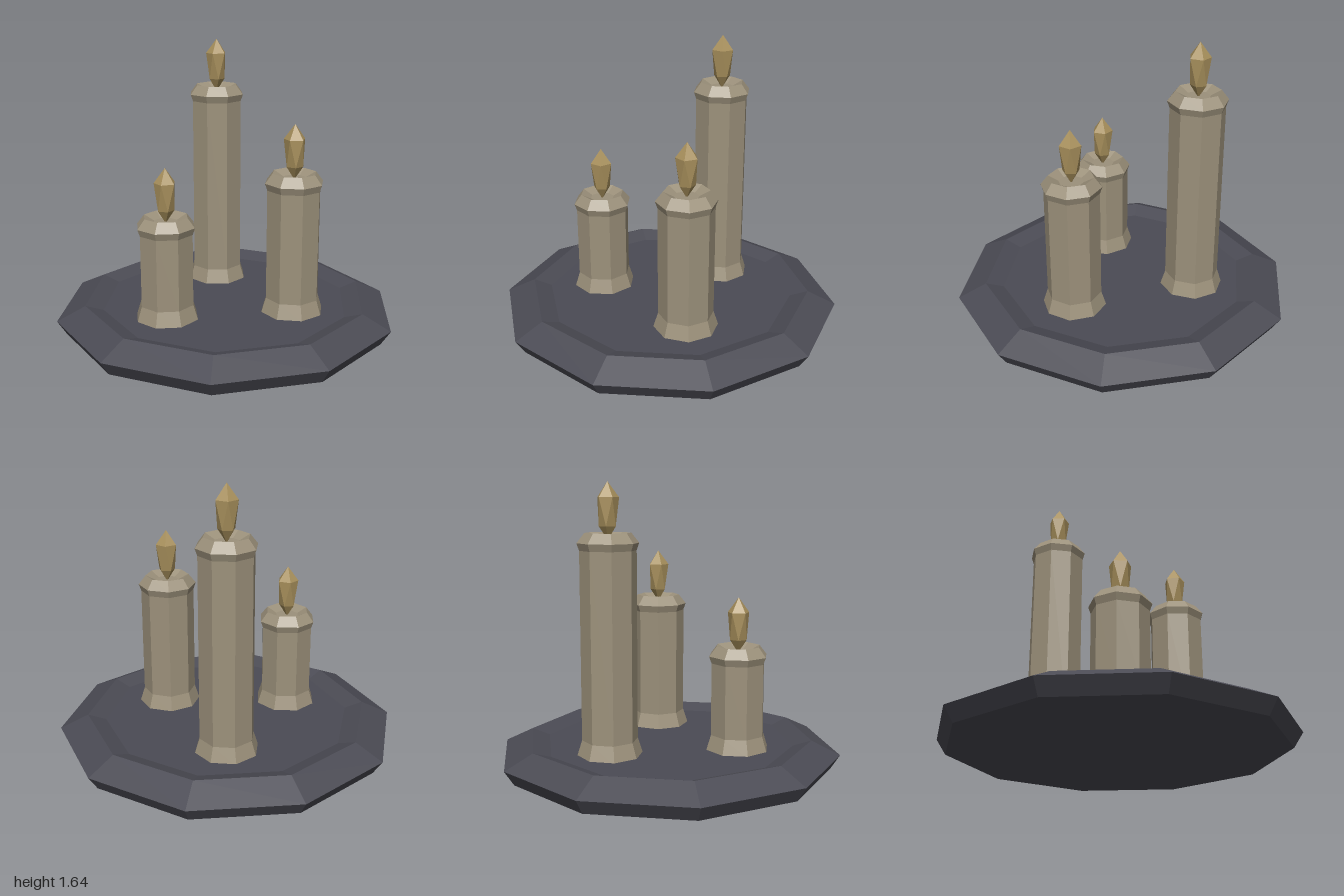
import * as THREE from 'three';
import { ConvexGeometry } from 'three/addons/geometries/ConvexGeometry.js';

const material = (name, color) => {
  const m = new THREE.MeshStandardMaterial({ color });
  m.name = name;
  return m;
};

// Faceted solid of revolution, profile runs from the bottom centre up the outside
function facetedLathe(profile, sides) {
  const points = profile.map(([r, y]) => new THREE.Vector2(r, y));
  const geometry = new THREE.LatheGeometry(points, sides).toNonIndexed();
  geometry.computeVertexNormals();
  return geometry;
}

// Two twisted five-sided rings between a lower and an upper tip
function flameGeometry() {
  const points = [new THREE.Vector3(0, -0.04, 0), new THREE.Vector3(0, 0.275, 0)];
  for (let i = 0; i < 5; i++) {
    const a = (i / 5) * Math.PI * 2;
    const b = a + Math.PI / 5;
    points.push(new THREE.Vector3(0.063 * Math.sin(a), 0.19, 0.063 * Math.cos(a)));
    points.push(new THREE.Vector3(0.049 * Math.sin(b), 0.035, 0.049 * Math.cos(b)));
  }
  return new ConvexGeometry(points);
}

export function createModel() {
  const slate = material('dark slate', 0x4b4b54);
  const wax = material('wax', 0x9c917b);
  const gold = material('flame gold', 0xa8905c);

  const model = new THREE.Group();
  model.name = 'candleTray';

  const add = (parent, name, geometry, mat) => {
    const mesh = new THREE.Mesh(geometry, mat);
    mesh.name = name;
    parent.add(mesh);
    return mesh;
  };

  // Ten-sided tray with a bevelled rim and a shallow sunken floor
  const tray = add(model, 'tray', facetedLathe(
    [[0, 0], [0.945, 0], [1, 0.085], [0.835, 0.165], [0.73, 0.13], [0, 0.13]], 10), slate);
  tray.rotation.y = Math.PI / 10;

  // Candles: x, z, top height, turn
  const candles = [
    ['tallCandle', -0.21, -0.365, 1.365, 0.03],
    ['mediumCandle', 0.415, 0, 0.95, -0.15],
    ['shortCandle', -0.21, 0.365, 0.725, 0.1],
  ];
  const flame = flameGeometry();
  for (const [name, x, z, top, turn] of candles) {
    const candle = new THREE.Group();
    candle.name = name;
    candle.position.set(x, 0, z);
    model.add(candle);

    // Flared foot, straight body, lipped top and wick hollow
    const body = add(candle, 'waxBody', facetedLathe([
      [0, 0.12], [0.187, 0.12], [0.157, 0.215], [0.157, top - 0.095],
      [0.171, top - 0.055], [0.128, top], [0.07, top - 0.03], [0, top - 0.03],
    ], 8), wax);
    body.rotation.y = turn;

    const light = add(candle, 'flame', flame, gold);
    light.position.y = top;
    light.rotation.y = turn;
  }
  return model;
}
